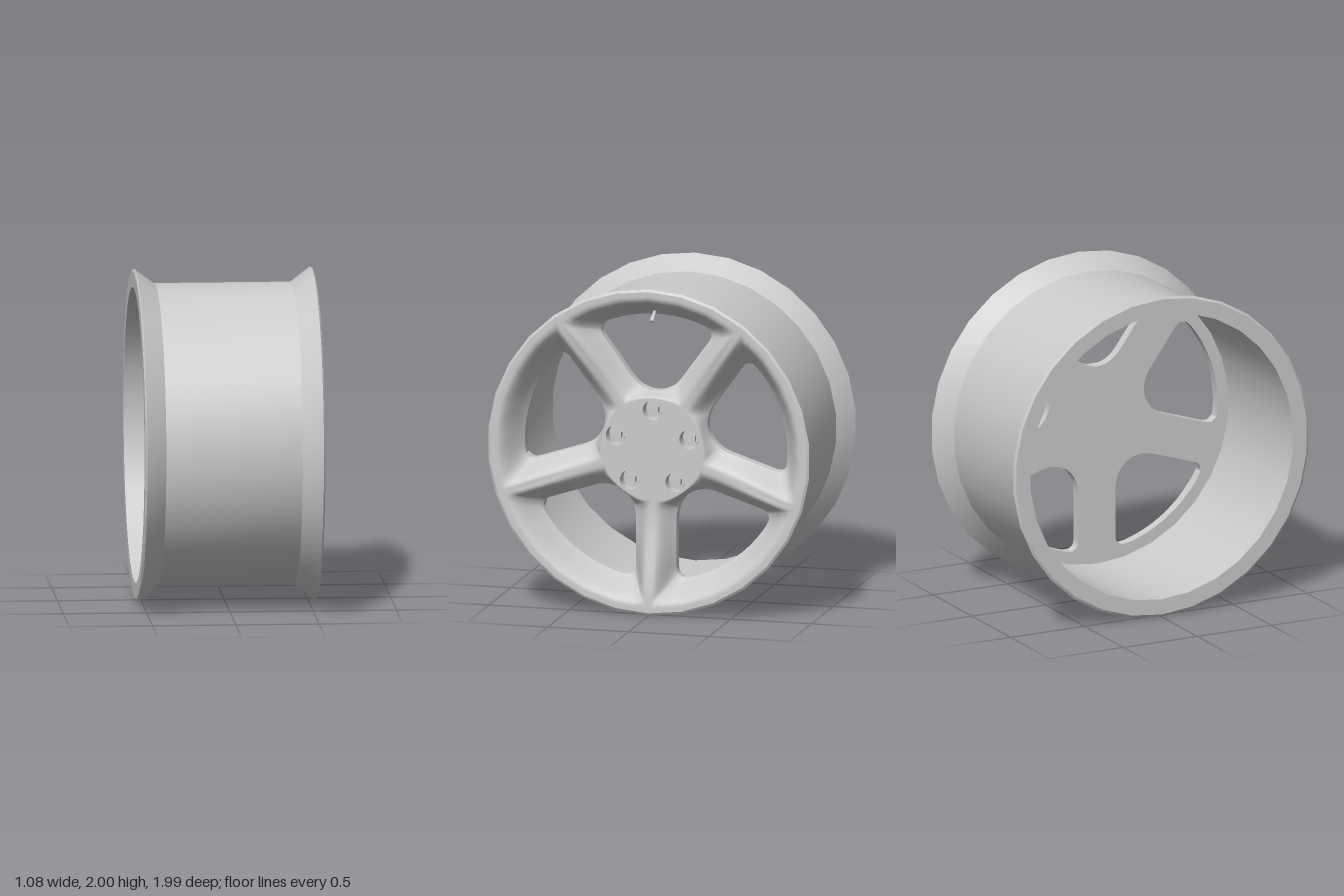
import * as THREE from 'three';
import { mergeGeometries, mergeVertices, toCreasedNormals } from 'three/addons/utils/BufferGeometryUtils.js';

const RAD = Math.PI / 180;
const HUB_R = 0.31, LIP_R = 0.97, HUB_Z = 0.45, LIP_Z = 0.54, EDGE_Z = 0.36, BACK_Z = 0.3;
const BOLT_R = 0.24, HOLE_R = 0.06;
const smooth = THREE.MathUtils.smoothstep;
const polar = (r, deg) => new THREE.Vector2(r * Math.cos(deg * RAD), r * Math.sin(deg * RAD));

// Positive inside the rounded window whose middle lies at 90 degrees
function windowField(p) {
  const round = (a, b, k) => k - Math.hypot(Math.max(k - a, 0), Math.max(k - b, 0));
  const r = p.length(), t = Math.atan2(p.y, p.x) - Math.PI / 2;
  const a = r * Math.sin(36 * RAD - t) - 0.125, b = r * Math.sin(36 * RAD + t) - 0.125;
  return round(round(a, b, 0.26), 0.815 - r, 0.07);
}

// Outline of one fifth of the wheel face: spoke line, rim arc, spoke line, hub arc
function cellOutline() {
  const pts = [];
  const spoke = 14, arc = 18, hub = 8;
  for (let i = 0; i < spoke; i++) pts.push(polar(HUB_R + (LIP_R - HUB_R) * i / spoke, 54));
  for (let i = 0; i < arc; i++) {
    const d = 72 * i / arc;
    pts.push(polar(LIP_R * Math.cos(6 * RAD) / Math.cos((d % 12 - 6) * RAD), 54 + d));
  }
  for (let i = 0; i < spoke; i++) pts.push(polar(LIP_R + (HUB_R - LIP_R) * i / spoke, 126));
  for (let i = 0; i < hub; i++) pts.push(polar(HUB_R, 126 - 72 * i / hub));
  return pts;
}

// Where the ray from the window's middle towards p crosses the window edge
function windowEdge(p) {
  const c = new THREE.Vector2(0, 0.6);
  let lo = 0, hi = 1;
  for (let i = 0; i < 30; i++) {
    const m = (lo + hi) / 2;
    if (windowField(c.clone().lerp(p, m)) > 0) lo = m; else hi = m;
  }
  return c.lerp(p, lo);
}

// Closed loops of points joined into a surface
function loft(rows) {
  const n = rows[0].length, index = [];
  for (let j = 0; j < rows.length - 1; j++) {
    for (let i = 0; i < n; i++) {
      const a = j * n + i, b = j * n + (i + 1) % n;
      index.push(a, a + n, b, b, a + n, b + n);
    }
  }
  const g = new THREE.BufferGeometry();
  g.setAttribute('position', new THREE.Float32BufferAttribute(rows.flat().flatMap(v => [v.x, v.y, v.z]), 3));
  g.setIndex(index);
  return g;
}

const fiveTimes = g => mergeGeometries([0, 1, 2, 3, 4].map(k => g.clone().rotateZ(k * 72 * RAD)));

export function createModel() {
  const root = new THREE.Group();
  root.name = 'wheel';
  const wheel = new THREE.Group();
  wheel.name = 'wheelBody';
  wheel.rotation.y = Math.PI / 2;
  wheel.position.y = 1;
  root.add(wheel);
  const mat = new THREE.MeshStandardMaterial({ color: 0xcccccc, side: THREE.DoubleSide });
  const flat = new THREE.MeshStandardMaterial({ color: 0xcccccc, flatShading: true });
  const add = (name, geo, material = mat, parent = wheel) => {
    const m = new THREE.Mesh(geo, material);
    m.name = name;
    parent.add(m);
    return m;
  };

  // Barrel with flared flanges, open at the back
  const profile = [
    [0.89, 0.42], [0.89, -0.54], [0.985, -0.54], [1, -0.53], [0.91, -0.41],
    [0.91, 0.41], [1, 0.53], [0.985, 0.54], [LIP_R, LIP_Z],
  ].map(p => new THREE.Vector2(...p));
  add('barrel', toCreasedNormals(new THREE.LatheGeometry(profile, 30).rotateX(Math.PI / 2), 0.5));

  // Front of spokes and rim dish, rising from each window edge
  const outline = cellOutline();
  const edge = outline.map(windowEdge);
  const at = (p, z) => new THREE.Vector3(p.x, p.y, z);
  const front = [];
  const steps = 9;
  for (let j = 0; j <= steps; j++) {
    const s = j / steps;
    front.push(outline.map((b, i) => {
      const top = HUB_Z + (LIP_Z - HUB_Z) * smooth(b.length(), 0.35, LIP_R);
      const rise = smooth(s, -0.2, 0.85), start = smooth(0, -0.2, 0.85);
      return at(edge[i].clone().lerp(b, s), EDGE_Z + (top - EDGE_Z) * (rise - start) / (1 - start));
    }));
  }
  const face = mergeVertices(fiveTimes(loft(front)), 1e-4);
  face.computeVertexNormals();
  add('spokes', face);

  // Window walls and flat back of the spokes
  const back = outline.map(b => at(b.clone().clampLength(0, 0.895), BACK_Z));
  const walls = loft([back, edge.map(p => at(p, BACK_Z)), edge.map(p => at(p, EDGE_Z))]);
  add('spokeBacks', toCreasedNormals(fiveTimes(walls), 0.6));

  // Hub plate with bolt holes, and its back
  const plate = new THREE.Shape(Array.from({ length: 40 }, (_, i) => polar(HUB_R, 54 + 9 * i)));
  for (let k = 0; k < 5; k++) {
    const c = polar(BOLT_R, 90 + 72 * k);
    plate.holes.push(new THREE.Path().absarc(c.x, c.y, HOLE_R, 0, Math.PI * 2, true));
  }
  add('hubPlate', new THREE.ShapeGeometry(plate, 12).translate(0, 0, HUB_Z));
  add('hubBack', new THREE.CircleGeometry(HUB_R, 40).rotateY(Math.PI).translate(0, 0, BACK_Z));

  // Recessed bolts
  const disc = (r, z0, z1, sides, open = false) =>
    new THREE.CylinderGeometry(r, r, z1 - z0, sides, 1, open).rotateX(Math.PI / 2).translate(0, 0, (z0 + z1) / 2);
  for (let k = 0; k < 5; k++) {
    const bolt = new THREE.Group();
    bolt.name = 'bolt' + (k + 1);
    const c = polar(BOLT_R, 90 + 72 * k);
    bolt.position.set(c.x, c.y, 0);
    add('boltHole', disc(HOLE_R, 0.37, HUB_Z, 24, true), mat, bolt);
    add('boltSeat', new THREE.CircleGeometry(HOLE_R, 24).translate(0, 0, 0.37), mat, bolt);
    add('boltCollar', disc(0.048, 0.37, 0.4, 20), mat, bolt);
    add('boltHead', disc(0.034, 0.4, 0.43, 6), flat, bolt);
    wheel.add(bolt);
  }

  // Valve stem leaning inwards from the barrel
  const valve = new THREE.Group();
  valve.name = 'valve';
  valve.position.set(0, 0.815, 0.425);
  valve.rotation.x = 125 * RAD;
  add('valveStem', new THREE.CylinderGeometry(0.01, 0.01, 0.1, 10), mat, valve);
  add('valveCap', new THREE.CylinderGeometry(0.014, 0.014, 0.035, 10), mat, valve).position.y = 0.03;
  wheel.add(valve);

  return root;
}
